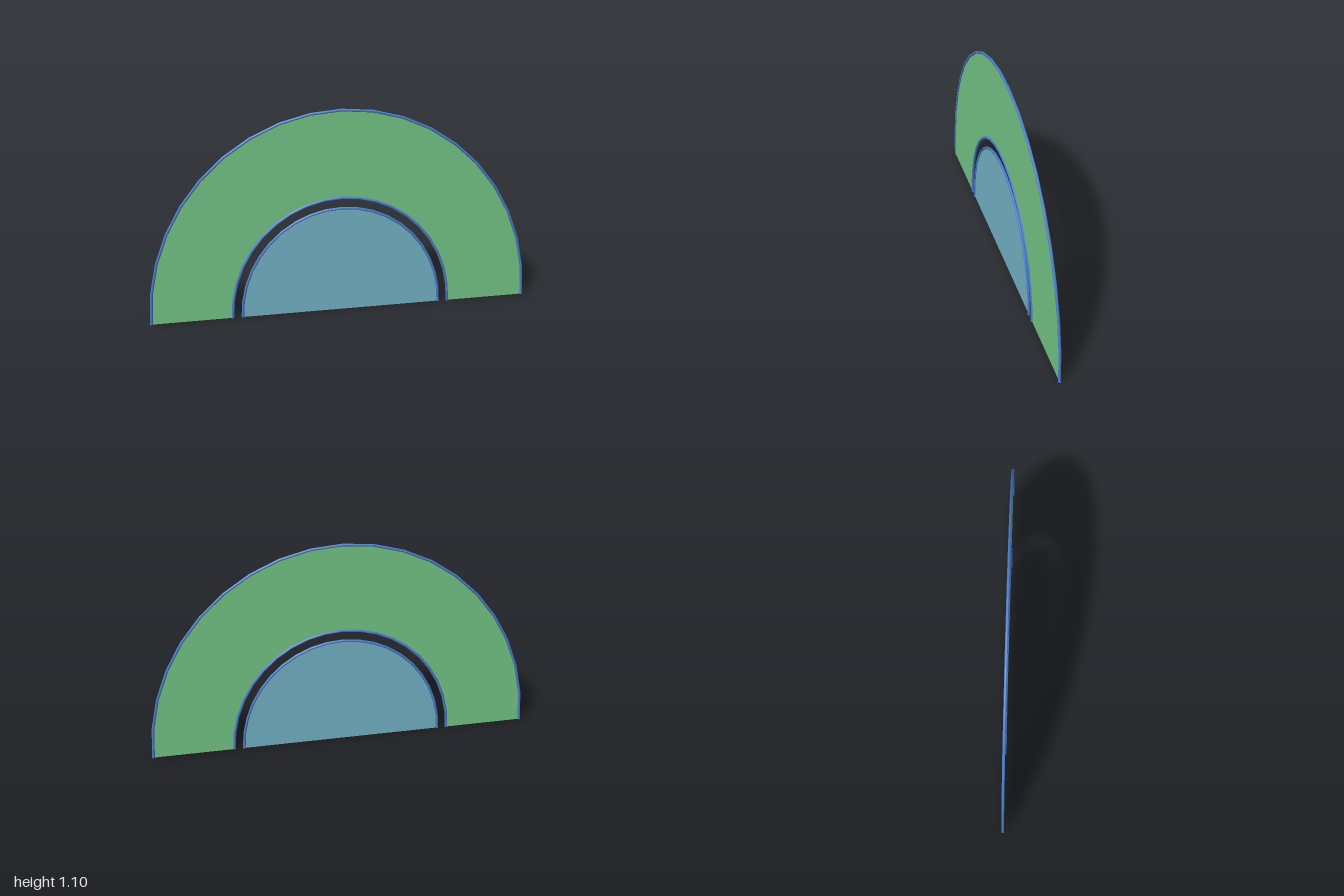
import * as THREE from 'three';

const SEGMENTS = 20;      // straight pieces per half ellipse
const RATIO = 1.1;        // height of each arch over its half width
const TUBE = 0.007;       // trim radius

const archPoint = (r, t) => new THREE.Vector2(r * Math.cos(Math.PI * t), r * RATIO * Math.sin(Math.PI * t));

function archPoints(r) {
  return Array.from({ length: SEGMENTS + 1 }, (_, i) => archPoint(r, i / SEGMENTS));
}

// Half ellipse stepped by even angles
class ArchCurve extends THREE.Curve {
  constructor(r) { super(); this.r = r; }
  getPoint(t) { const p = archPoint(this.r, t); return new THREE.Vector3(p.x, p.y, 0); }
  getUtoTmapping(u) { return u; }
}

export function createModel() {
  const group = new THREE.Group();
  const material = (color, side = THREE.FrontSide) => new THREE.MeshStandardMaterial({ color, side });
  const green = material(0x74c686, THREE.DoubleSide);
  const teal = material(0x73b3c6, THREE.DoubleSide);
  const blue = material(0x4a7cc8);

  const add = (name, geometry, mat, parent = group) => {
    const mesh = new THREE.Mesh(geometry, mat);
    mesh.name = name;
    parent.add(mesh);
    return mesh;
  };

  const outer = 0.993, inner = 0.575, centre = 0.524;

  // Flat arched band and the half disc inside it
  const band = new THREE.Shape([...archPoints(outer), ...archPoints(inner).reverse()]);
  add('archPanel', new THREE.ShapeGeometry(band), green);
  add('centrePanel', new THREE.ShapeGeometry(new THREE.Shape(archPoints(centre))), teal);

  // Thin round trim along each curved edge, closed at the feet
  for (const [name, r] of [['outerTrim', outer], ['innerTrim', inner], ['centreTrim', centre]]) {
    const trim = new THREE.Group();
    trim.name = name;
    group.add(trim);
    add(name + 'Tube', new THREE.TubeGeometry(new ArchCurve(r), SEGMENTS, TUBE, 8, false), blue, trim);
    for (const side of [-1, 1]) {
      const cap = new THREE.CircleGeometry(TUBE, 8).rotateX(Math.PI / 2).translate(side * r, 0, 0);
      add(name + (side > 0 ? 'LeftCap' : 'RightCap'), cap, blue, trim);
    }
  }
  return group;
}
